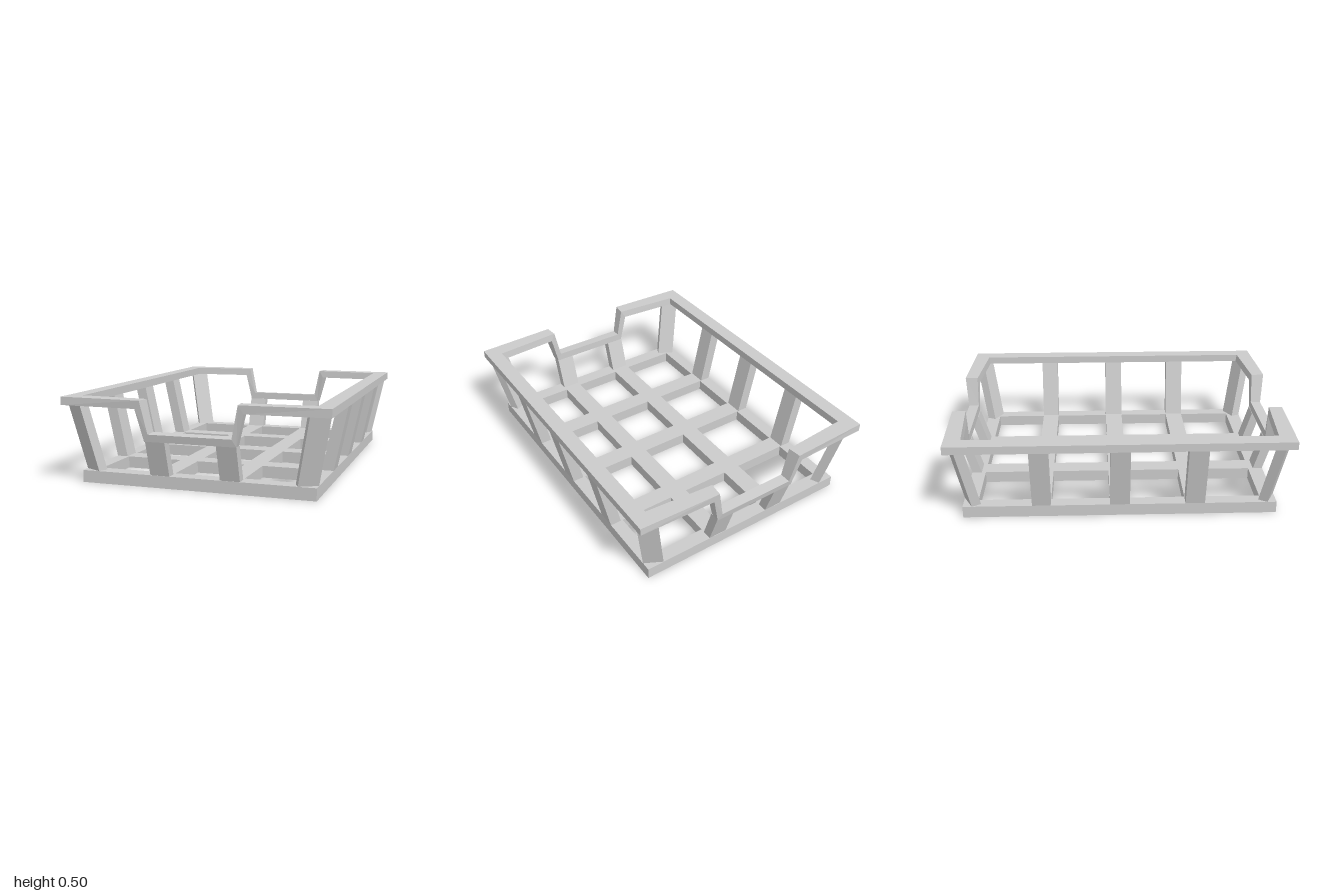
import * as THREE from 'three';

const material = new THREE.MeshStandardMaterial({ color: 0xcccccc, flatShading: true });
const BASE_Y = 0.07;   // top of the slatted floor
const RAIL_Y = 0.45;   // underside of the raised rim

const rect = (x0, x1, z0, z1) => [[x0, z0], [x1, z0], [x1, z1], [x0, z1]];
const toPoints = (outline) => outline.map(([x, z]) => new THREE.Vector2(x, -z));

// Upright prism on an x/z footprint, its top leaning by (dx, dz)
function prism(name, outline, y0, y1, dx = 0, dz = 0, holes = []) {
  const shape = new THREE.Shape(toPoints(outline));
  // Holes wind against the outline so their walls face inwards
  shape.holes = holes.map((h) => new THREE.Path(toPoints(h).reverse()));
  const geo = new THREE.ExtrudeGeometry(shape, { depth: y1 - y0, bevelEnabled: false });
  geo.rotateX(-Math.PI / 2);
  const p = geo.attributes.position;
  for (let i = 0; i < p.count; i++) {
    const t = p.getY(i) / (y1 - y0);
    p.setXYZ(i, p.getX(i) + dx * t, p.getY(i) + y0, p.getZ(i) + dz * t);
  }
  geo.computeVertexNormals();
  const mesh = new THREE.Mesh(geo, material);
  mesh.name = name;
  return mesh;
}

// Closed rim: four-cornered sections joined in a loop
function topRail() {
  // Section corners: outer top, outer bottom, inner bottom, inner top
  const quarter = [
    [[0.77, 0.497, 0.983], [0.77, 0.45, 0.983], [0.68, 0.45, 0.885], [0.68, 0.497, 0.89]],
    [[0.28, 0.497, 1.0], [0.31, 0.45, 0.995], [0.3, 0.45, 0.912], [0.272, 0.497, 0.92]],
    [[0.24, 0.312, 0.985], [0.265, 0.27, 0.977], [0.26, 0.27, 0.918], [0.235, 0.317, 0.92]],
  ];
  const sections = [];
  for (const [sx, sz] of [[1, 1], [-1, 1], [-1, -1], [1, -1]]) {
    const part = quarter.map((s) => s.map(([x, y, z]) => [x * sx, y, z * sz]));
    sections.push(...(sx * sz > 0 ? part : part.reverse()));
  }
  const pos = [];
  sections.forEach((s, i) => {
    const n = sections[(i + 1) % sections.length];
    for (let k = 0; k < 4; k++) {
      const m = (k + 1) % 4;
      pos.push(...s[k], ...n[k], ...n[m], ...s[k], ...n[m], ...s[m]);
    }
  });
  const geo = new THREE.BufferGeometry();
  geo.setAttribute('position', new THREE.Float32BufferAttribute(pos, 3));
  geo.computeVertexNormals();
  const mesh = new THREE.Mesh(geo, material);
  mesh.name = 'topRail';
  return mesh;
}

export function createModel() {
  const group = new THREE.Group();
  group.name = 'openCrate';

  // Slatted floor with a grid of openings
  const columns = [[-0.605, -0.26], [-0.148, 0.148], [0.26, 0.602]];
  const rows = [[-0.83, -0.513], [-0.405, -0.06], [0.055, 0.38], [0.493, 0.825]];
  const holes = columns.flatMap((c) => rows.map((r) => rect(...c, ...r)));
  group.add(prism('floorGrid', rect(-0.682, 0.682, -0.914, 0.914), 0, BASE_Y, 0, 0, holes));

  group.add(topRail());

  for (const s of [1, -1]) {
    // Side posts stand on the ends of the cross slats
    for (let i = 0; i < 3; i++) {
      const foot = rect(s * 0.615, s * 0.682, rows[i][1], rows[i + 1][0]);
      group.add(prism('sidePost', foot, BASE_Y, RAIL_Y, s * 0.08, 0));
    }
    for (const e of [1, -1]) {
      // Short posts below the dip at each end
      const foot = rect(s * 0.148, s * 0.262, e * 0.855, e * 0.912);
      group.add(prism('endPost', foot, BASE_Y, 0.27, 0, e * 0.06));

      // Turned plates in the corners
      const corner = [[0.652, 0.81], [0.682, 0.86], [0.58, 0.913], [0.556, 0.86]];
      group.add(prism('cornerPost', corner.map(([x, z]) => [x * s, z * e]),
        BASE_Y, RAIL_Y, s * 0.075, e * 0.062));
    }
  }
  return group;
}
